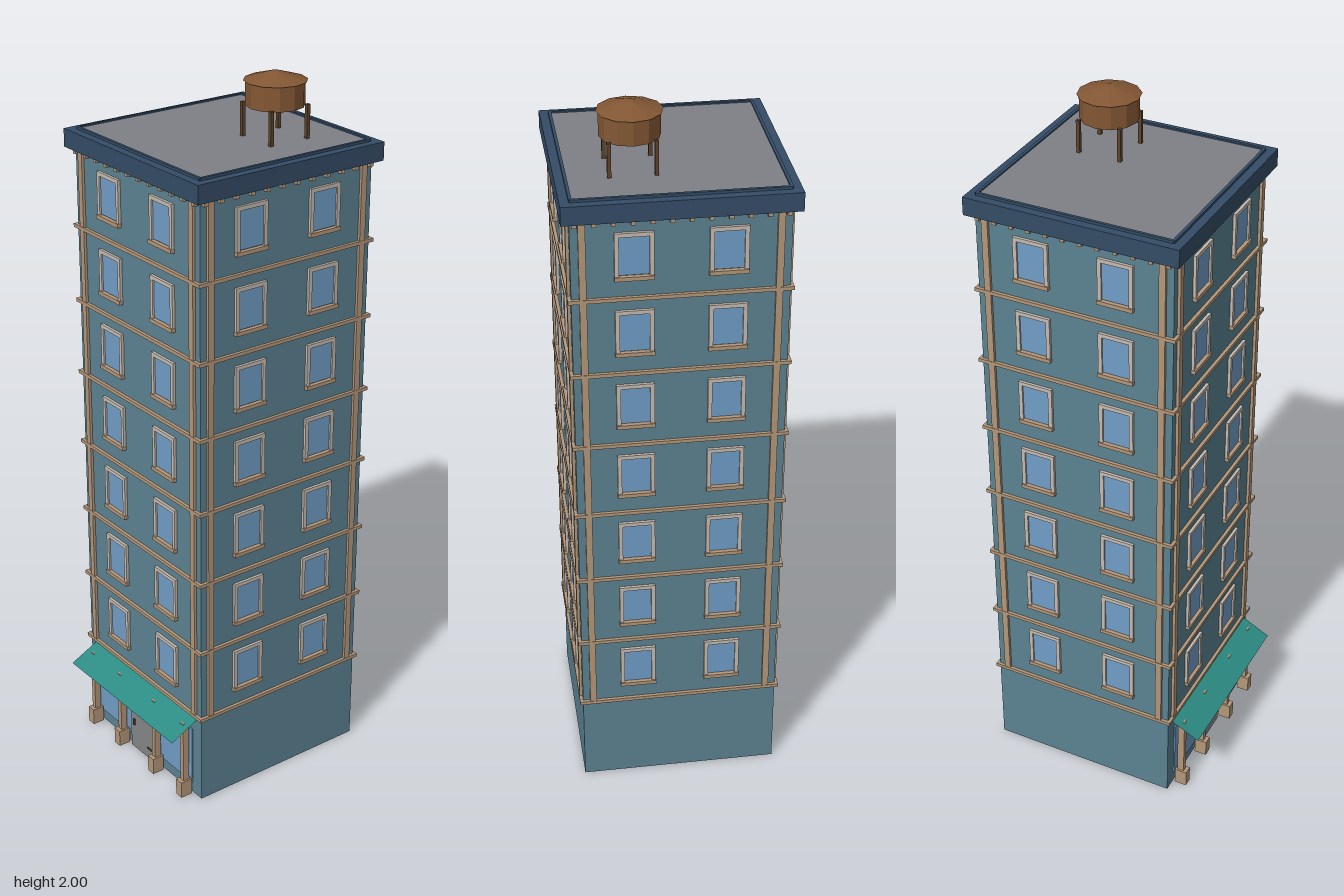
import * as THREE from 'three';

const mat = (name, color) => {
  const m = new THREE.MeshStandardMaterial({ color, flatShading: true });
  m.name = name;
  return m;
};

export function createModel() {
  const wall = mat('wall blue', 0x5b8291), trim = mat('tan trim', 0xb4977a);
  const frame = mat('pale frame', 0xc6bbb0), glass = mat('glass blue', 0x709dc6);
  const navy = mat('cornice navy', 0x344c66), grey = mat('roof grey', 0x7e8086);
  const teal = mat('awning teal', 0x2c8c84), doorGrey = mat('door grey', 0x858689);
  const brown = mat('tank brown', 0x835734), dark = mat('dark wood', 0x5e442c);
  teal.side = THREE.DoubleSide;

  const model = new THREE.Group();
  model.name = 'apartmentTower';
  const add = (parent, name, geo, material, x, y, z) => {
    const m = new THREE.Mesh(geo, material);
    m.name = name;
    m.position.set(x, y, z);
    parent.add(m);
    return m;
  };
  const box = (parent, name, material, w, h, d, x, y, z) =>
    add(parent, name, new THREE.BoxGeometry(w, h, d), material, x, y, z);

  const HALF = 0.275, FLOOR = 0.2145, BASE = 0.27, FLOORS = 7;

  // Tower, set back behind the shop awning
  const tower = new THREE.Group();
  tower.name = 'tower';
  tower.position.z = -0.033;
  model.add(tower);
  box(tower, 'walls', wall, HALF * 2, 1.78, HALF * 2, 0, 0.89, 0);
  for (let i = 0; i < FLOORS; i++)
    box(tower, 'floorBand', trim, 0.568, 0.01, 0.568, 0, BASE + i * FLOOR, 0);

  // One window: four frame bars, a pane and a sill
  function addWindow(parent, x, y) {
    const g = new THREE.Group();
    g.name = 'window';
    g.position.set(x, y, HALF);
    parent.add(g);
    box(g, 'pane', glass, 0.08, 0.106, 0.004, 0, 0, 0.001);
    for (const s of [-1, 1])
      box(g, 'frameSide', frame, 0.011, 0.126, 0.012, s * 0.0435, 0, 0.002);
    box(g, 'frameTop', frame, 0.076, 0.011, 0.012, 0, 0.0575, 0.002);
    box(g, 'sill', trim, 0.1, 0.011, 0.018, 0, -0.0605, 0.003);
  }

  // Four matching upper facades
  for (let k = 0; k < 4; k++) {
    const side = new THREE.Group();
    side.name = 'facade';
    side.rotation.y = k * Math.PI / 2;
    tower.add(side);
    for (let i = 0; i < FLOORS; i++)
      for (const s of [-1, 1]) addWindow(side, s * 0.118, 0.388 + i * FLOOR);
    for (const s of [-1, 1])
      box(side, 'cornerPilaster', trim, 0.018, 1.5, 0.016, s * 0.246, 1.025, HALF);
    for (let i = 0; i < 12; i++)
      box(side, 'corniceBracket', trim, 0.012, 0.014, 0.014, -0.264 + i * 0.048, 1.768, HALF + 0.006);
  }

  // Cornice with a raised lip around the roof
  box(tower, 'cornice', navy, 0.594, 0.05, 0.594, 0, 1.799, 0);
  box(tower, 'roofDeck', grey, 0.535, 0.004, 0.535, 0, 1.825, 0);
  for (let k = 0; k < 4; k++) {
    const a = k * Math.PI / 2;
    const lip = box(tower, 'roofLip', navy, 0.542, 0.012, 0.008, 0.27 * Math.sin(a), 1.825, 0.27 * Math.cos(a));
    lip.rotation.y = a;
  }

  // Shop front: glazing, door and posts
  const shop = new THREE.Group();
  shop.name = 'shopFront';
  model.add(shop);
  const front = 0.242;
  box(shop, 'shopGlass', glass, 0.47, 0.18, 0.006, 0, 0.125, front + 0.001);
  box(shop, 'mullion', frame, 0.006, 0.04, 0.008, 0, 0.2, front + 0.002);
  box(shop, 'door', doorGrey, 0.12, 0.18, 0.012, 0, 0.09, front + 0.003);
  box(shop, 'doorHandle', dark, 0.006, 0.02, 0.006, -0.042, 0.09, front + 0.011);
  for (const y of [0.035, 0.14])
    box(shop, 'doorHinge', dark, 0.034, 0.005, 0.003, 0.04, y, front + 0.01);
  for (const x of [-0.225, -0.086, 0.086, 0.225]) {
    box(shop, 'post', trim, 0.015, 0.2, 0.02, x, 0.1415, 0.264);
    box(shop, 'postFoot', trim, 0.026, 0.05, 0.036, x, 0.025, 0.267);
  }

  // Sloping awning sheet
  const rise = 0.042, run = 0.085;
  const awning = add(model, 'awning', new THREE.PlaneGeometry(0.506, Math.hypot(rise, run)),
    teal, 0, 0.2335, front + run / 2);
  awning.rotation.x = -Math.atan2(run, rise);

  // Water tank on four legs
  const tank = new THREE.Group();
  tank.name = 'waterTank';
  tank.position.set(0.103, 0, -0.125);
  model.add(tank);
  add(tank, 'barrel', new THREE.CylinderGeometry(0.078, 0.078, 0.066, 12), brown, 0, 1.946, 0);
  add(tank, 'tankRoof', new THREE.CylinderGeometry(0.013, 0.084, 0.022, 12), brown, 0, 1.989, 0);
  for (const sx of [-1, 1])
    for (const sz of [-1, 1])
      box(tank, 'tankLeg', dark, 0.01, 0.095, 0.01, sx * 0.059, 1.87, sz * 0.059);

  return model;
}
